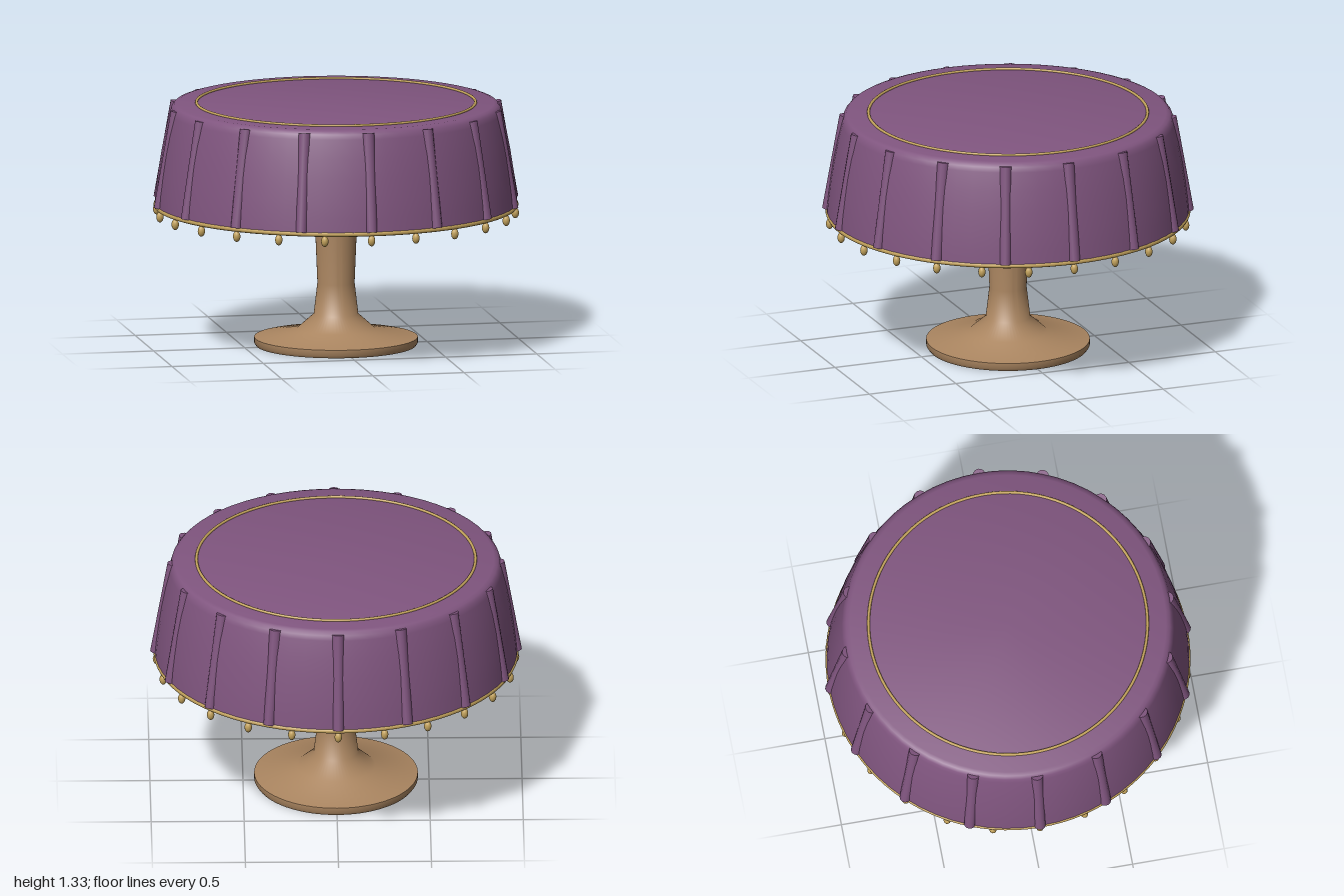
import * as THREE from 'three';
import { toCreasedNormals } from 'three/addons/utils/BufferGeometryUtils.js';

const purple = new THREE.MeshStandardMaterial({ name: 'purple cloth', color: 0x80557f });
const gold = new THREE.MeshStandardMaterial({ name: 'gold trim', color: 0xc4a35c });
const wood = new THREE.MeshStandardMaterial({ name: 'tan wood', color: 0xaa8560 });

// Solid of revolution from [radius, y] pairs running bottom to top
function turned(name, profile, material, crease) {
  const points = profile.map(([r, y]) => new THREE.Vector2(r, y));
  const geometry = toCreasedNormals(new THREE.LatheGeometry(points, 64), crease);
  const mesh = new THREE.Mesh(geometry, material);
  mesh.name = name;
  return mesh;
}

function ring(name, radius, tube, y) {
  const mesh = new THREE.Mesh(new THREE.TorusGeometry(radius, tube, 8, 96), gold);
  mesh.name = name;
  mesh.rotation.x = Math.PI / 2;
  mesh.position.y = y;
  return mesh;
}

// Repeats a mesh evenly around the vertical axis
function around(name, count, makeMesh) {
  const group = new THREE.Group();
  group.name = name;
  for (let i = 0; i < count; i++) {
    const spoke = new THREE.Group();
    spoke.rotation.y = (i / count) * Math.PI * 2;
    spoke.add(makeMesh());
    group.add(spoke);
  }
  return group;
}

export function createModel() {
  const model = new THREE.Group();
  model.name = 'drapedTable';

  // Flared foot and slender stem
  model.add(turned('pedestal', [
    [0, 0], [0.43, 0], [0.44, 0.015], [0.44, 0.045], [0.21, 0.09],
    [0.12, 0.17], [0.1, 0.34], [0.118, 0.78],
  ], wood, 0.8));

  // Tablecloth with slightly bulging sides and a rounded top rim
  model.add(turned('tablecloth', [
    [0, 0.77], [0.975, 0.77], [0.968, 0.85], [0.955, 0.95], [0.938, 1.06],
    [0.917, 1.17], [0.893, 1.27], [0.885, 1.297], [0.87, 1.314], [0.85, 1.32], [0, 1.32],
  ], purple, 0.9));

  // Folds lying partly sunk into the cloth
  const top = new THREE.Vector3(0, 1.3, 0.872);
  const bottom = new THREE.Vector3(0, 0.775, 0.968);
  const along = top.clone().sub(bottom);
  const foldGeometry = new THREE.CylinderGeometry(0.034, 0.031, along.length(), 12);
  model.add(around('folds', 16, () => {
    const fold = new THREE.Mesh(foldGeometry, purple);
    fold.name = 'fold';
    fold.position.copy(top).add(bottom).multiplyScalar(0.5);
    fold.quaternion.setFromUnitVectors(new THREE.Vector3(0, 1, 0), along.clone().normalize());
    return fold;
  }));

  // Gold piping on the top and hem
  model.add(ring('topPiping', 0.75, 0.008, 1.323));
  model.add(ring('hemPiping', 0.968, 0.013, 0.768));

  // Bead tassels hanging below the hem
  const tasselGeometry = new THREE.SphereGeometry(0.02, 12, 10).scale(1, 1.5, 1);
  model.add(around('tassels', 24, () => {
    const tassel = new THREE.Mesh(tasselGeometry, gold);
    tassel.name = 'tassel';
    tassel.position.set(0, 0.73, 0.965);
    return tassel;
  }));

  return model;
}
